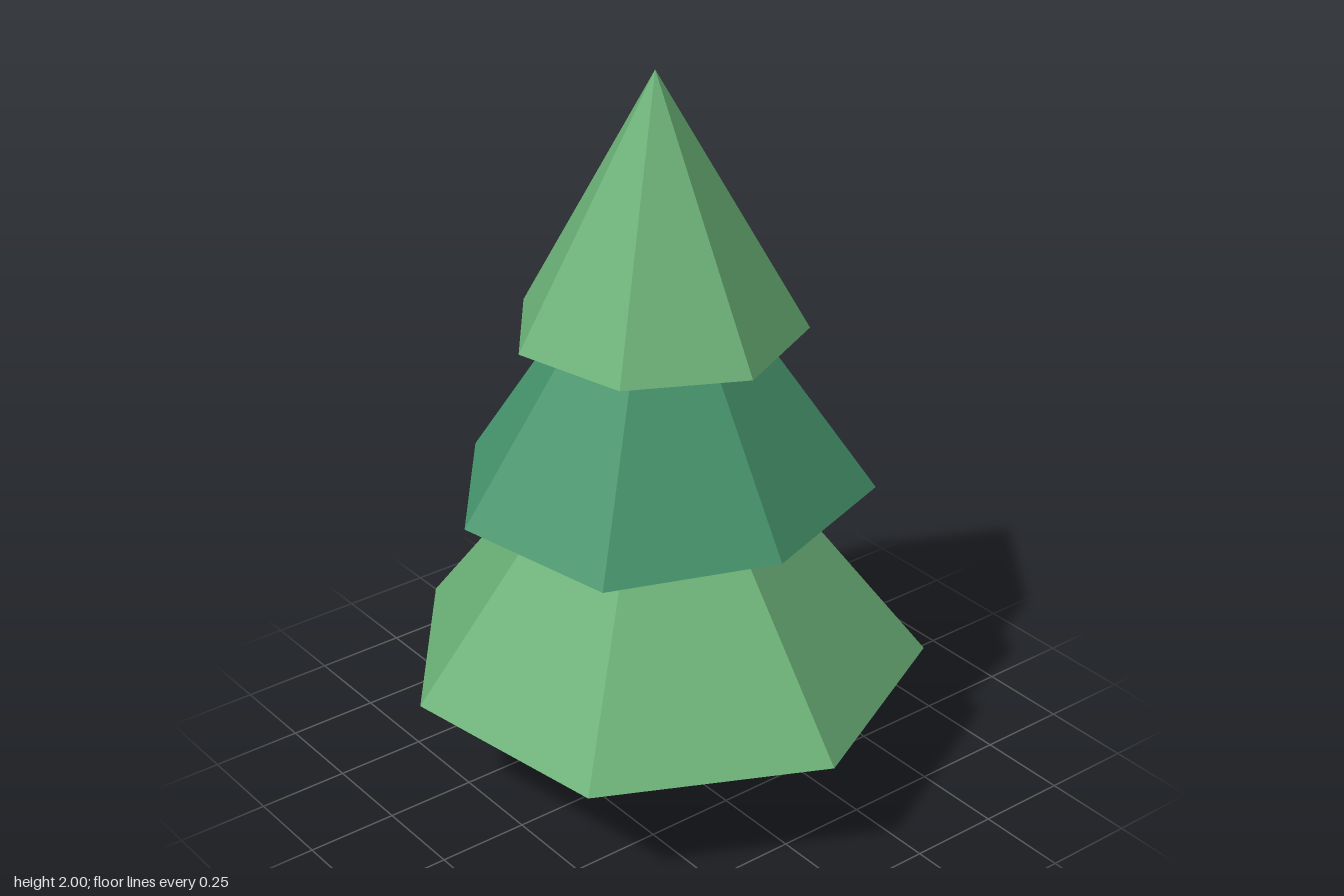
import * as THREE from 'three';

const AXIS_X = -0.055; // trunk axis, slightly off the bounding-box centre

// Seven-sided cone whose rim corners each have their own radius
function makeTier(name, material, baseY, apexY, radii) {
  const n = radii.length;
  const apex = [0, apexY - baseY, 0];
  const rim = (i) => {
    const a = (i / n) * Math.PI * 2, r = radii[i % n];
    return [Math.cos(a) * r, 0, Math.sin(a) * r];
  };
  const points = [];
  for (let i = 0; i < n; i++) {
    points.push(...apex, ...rim(i + 1), ...rim(i)); // sloping side
    points.push(0, 0, 0, ...rim(i), ...rim(i + 1)); // underside
  }
  const geometry = new THREE.BufferGeometry();
  geometry.setAttribute('position', new THREE.Float32BufferAttribute(points, 3));
  geometry.computeVertexNormals(); // unshared corners give flat facets
  const mesh = new THREE.Mesh(geometry, material);
  mesh.name = name;
  mesh.position.set(AXIS_X, baseY, 0);
  return mesh;
}

export function createModel() {
  const tree = new THREE.Group();
  tree.name = 'pineTree';

  const flat = (name, color) => {
    const m = new THREE.MeshStandardMaterial({ color, flatShading: true });
    m.name = name;
    return m;
  };
  const lightGreen = flat('lightGreen', 0x6ab076);
  const deepGreen = flat('deepGreen', 0x46946c);
  const bark = flat('barkBrown', 0x8a6248);

  // Five-sided trunk with one corner towards -x
  const trunk = new THREE.Mesh(
    new THREE.CylinderGeometry(0.1, 0.1, 0.36, 5, 1, false, -Math.PI / 2), bark);
  trunk.name = 'trunk';
  trunk.position.set(AXIS_X, 0.18, 0);
  tree.add(trunk);

  // Foliage, rim radii listed from +x round towards +z
  tree.add(
    makeTier('lowerFoliage', lightGreen, 0.34, 1.26,
      [0.735, 0.729, 0.687, 0.698, 0.671, 0.687, 0.729]),
    makeTier('middleFoliage', deepGreen, 0.84, 1.68,
      [0.515, 0.562, 0.543, 0.55, 0.528, 0.574, 0.58]),
    makeTier('upperFoliage', lightGreen, 1.305, 2,
      [0.39, 0.377, 0.38, 0.387, 0.34, 0.34, 0.395]));

  return tree;
}
